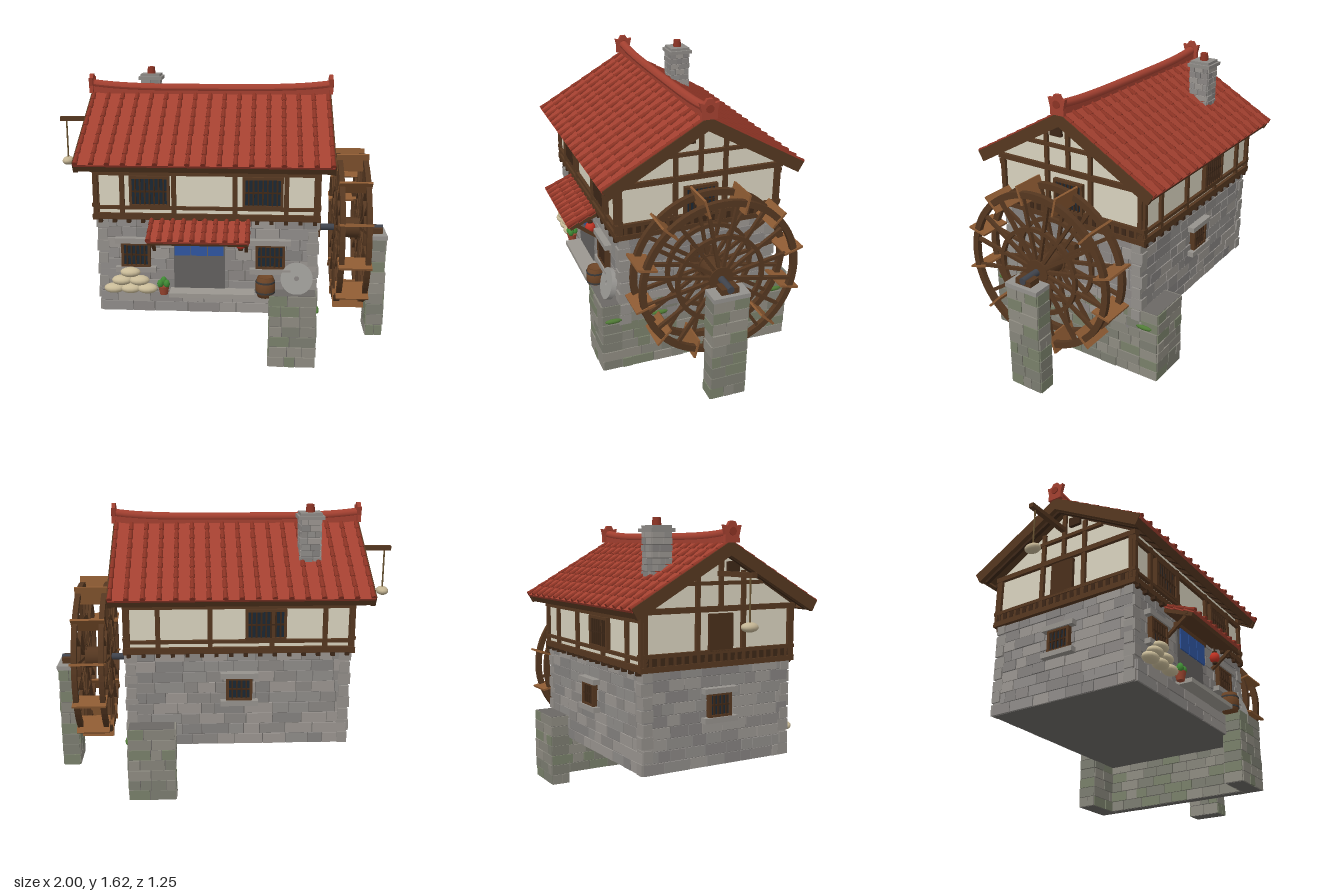
import * as THREE from 'three';
import { mergeGeometries } from 'three/addons/utils/BufferGeometryUtils.js';

export function createModel() {
  const root = new THREE.Group();
  const WOOD = 0x553720, DARK = 0x3d2717, RED = 0xa34030, RED2 = 0x8c3324, PLASTER = 0xd8d2be;
  const GREYS = [0x8f8c89, 0x84817f, 0x9a9590, 0x8a8683];
  const MOSSY = [0x86847a, 0x7b7c70, 0x8e8b81, 0x79806a];
  let seed = 7;
  const rnd = () => (seed = (seed * 16807) % 2147483647) / 2147483647;

  // Geometry is gathered by part name and merged at the end
  const parts = {};
  const add = (name, color, ...geos) => (parts[name] ??= { color, geos: [] }).geos.push(...geos);
  const box = (w, h, d, x = 0, y = 0, z = 0) => new THREE.BoxGeometry(w, h, d).translate(x, y, z);
  const cyl = (rt, rb, h, x, y, z, n = 16) => new THREE.CylinderGeometry(rt, rb, h, n).translate(x, y, z);
  const blob = (rx, ry, rz, x, y, z) => new THREE.SphereGeometry(1, 14, 10).scale(rx, ry, rz).translate(x, y, z);
  const bar = (a, b, t) => {
    const p = new THREE.Vector3(...a), q = new THREE.Vector3(...b), m = new THREE.Object3D();
    m.position.copy(p).lerp(q, 0.5);
    m.lookAt(q);
    m.updateMatrix();
    return box(t, t, p.distanceTo(q)).applyMatrix4(m.matrix);
  };

  // Stone block: mortar core with courses of uneven stones on four faces
  function stoneBox(name, x0, x1, y0, y1, z0, z1, rowH, len, tones) {
    const cx = (x0 + x1) / 2, cz = (z0 + z1) / 2, w = x1 - x0, d = z1 - z0;
    add(name + 'Core', 0x6b6865, box(w - 0.008, y1 - y0, d - 0.008, cx, (y0 + y1) / 2, cz));
    const rows = Math.round((y1 - y0) / rowH), h = (y1 - y0) / rows;
    for (let s = 0; s < 4; s++) {
      const half = (s % 2 ? d : w) / 2, out = (s % 2 ? w : d) / 2;
      for (let r = 0; r < rows; r++) {
        let u = -half;
        while (u < half - 0.001) {
          let l = len * (0.6 + 0.8 * rnd());
          if (half - u - l < len * 0.5) l = half - u;
          const i = Math.floor(rnd() * 4);
          const g = box(l - 0.004, h - 0.004, 0.03, u + l / 2, y0 + (r + 0.5) * h, out - 0.014 + rnd() * 0.006);
          add(name + 'Stones' + i, tones[i], g.rotateY(s * Math.PI / 2).translate(cx, 0, cz));
          u += l;
        }
      }
    }
  }
  stoneBox('house', -0.685, 0.545, 0.29, 0.85, -0.497, 0.427, 0.062, 0.12, GREYS);
  stoneBox('plinth', -0.68, 0.3, 0.29, 0.41, 0.38, 0.445, 0.06, 0.14, GREYS);
  // U-shaped foundation: two end blocks joined by a thin wall beside the wheel
  stoneBox('foundation', 0.283, 0.545, 0, 0.43, 0.425, 0.537, 0.062, 0.1, MOSSY);
  stoneBox('foundation', 0.283, 0.545, 0, 0.43, -0.61, -0.497, 0.062, 0.1, MOSSY);
  stoneBox('foundation', 0.485, 0.545, 0, 0.43, -0.497, 0.425, 0.062, 0.1, MOSSY);
  stoneBox('pier', 0.883, 0.985, 0, 0.62, -0.138, 0.064, 0.068, 0.08, MOSSY);
  stoneBox('chimney', -0.53, -0.42, 1.2, 1.55, -0.355, -0.235, 0.035, 0.05, GREYS);
  add('pierCap', 0x94918d, box(0.115, 0.025, 0.21, 0.938, 0.632, -0.037));
  add('chimneyCap', 0x8d8a86, box(0.145, 0.02, 0.145, -0.475, 1.555, -0.297), box(0.12, 0.015, 0.12, -0.475, 1.573, -0.297));
  add('chimneyPot', RED2, cyl(0.022, 0.026, 0.045, -0.475, 1.6, -0.297));
  // Corner quoins
  for (const x of [-0.663, 0.523]) for (const z of [-0.475, 0.405]) for (let r = 0; r < 8; r++)
    add('quoins', 0x938f8a, box(r % 2 ? 0.07 : 0.055, 0.062, r % 2 ? 0.055 : 0.07, x, 0.325 + r * 0.07, z));

  // Plaster storey and gables
  const gable = new THREE.Shape([[-0.47, 0.85], [0.47, 0.85], [0.47, 1.16], [0, 1.44], [-0.47, 1.16]].map(p => new THREE.Vector2(...p)));
  add('plasterWalls', PLASTER, new THREE.ExtrudeGeometry(gable, { depth: 1.235, bevelEnabled: false })
    .rotateY(Math.PI / 2).translate(-0.693, 0, -0.035));

  // Put wall-local pieces (u along wall, y up, z outward) on one side of the house
  const sides = { front: [0, 0, 0.435], right: [Math.PI / 2, 0.542, 0], back: [Math.PI, 0, -0.505], left: [-Math.PI / 2, -0.693, 0] };
  const on = (side, name, color, ...gs) => {
    const [a, x, z] = sides[side];
    add(name, color, ...gs.map(g => g.rotateY(a).translate(x, 0, z)));
  };
  function barredWindow(side, u, y, w, h, stone) {
    on(side, 'windowPanes', 0x1a2733, box(w, h, 0.02, u, y, 0.004));
    for (const s of [-1, 1]) {
      on(side, 'windowFrames', WOOD, box(0.015, h, 0.04, u + s * w / 2, y, 0.005), box(w + 0.015, 0.015, 0.04, u, y + s * h / 2, 0.005));
      if (stone) on(side, 'windowLintels', 0x96928d, box(w + 0.08, 0.03, 0.06, u, y + s * (h / 2 + 0.02), 0.005));
    }
    const n = Math.round(w / 0.027);
    for (let i = 1; i < n; i++) on(side, 'windowBars', DARK, box(0.009, h, 0.012, u - w / 2 + i * w / n, y, 0.017));
    on(side, 'windowBars', DARK, box(w, 0.009, 0.012, u, y, 0.015));
  }
  for (const u of [-0.475, 0.285]) barredWindow('front', u, 0.63, 0.15, 0.13, true);
  for (const u of [-0.39, 0.24]) barredWindow('front', u, 1.0, 0.21, 0.16);
  barredWindow('back', 0.22, 1.0, 0.21, 0.16);
  barredWindow('back', 0.075, 0.63, 0.13, 0.12, true);
  barredWindow('right', 0.036, 1.0, 0.18, 0.17);
  barredWindow('left', -0.04, 0.63, 0.13, 0.12, true);
  on('left', 'loftHatch', 0x4a2f1b, box(0.15, 0.2, 0.03, -0.036, 1.02, 0.005));
  for (const s of ['left', 'right']) on(s, 'gableVent', DARK, box(0.075, 0.055, 0.03, s === 'left' ? 0.04 : -0.04, 1.365, 0.005));

  // Timber frame
  for (const s of ['front', 'back']) {
    const m = s === 'front' ? 1 : -1;
    for (const [y, h] of [[0.855, 0.035], [0.905, 0.018], [1.105, 0.03]]) on(s, 'timberFrame', WOOD, box(1.26, h, 0.04, -0.076 * m, y, 0));
    for (const x of [-0.695, -0.545, -0.255, 0.085, 0.37, 0.535]) on(s, 'timberFrame', WOOD, box(0.026, 0.28, 0.036, x * m, 0.99, 0));
    for (let i = 0; i < 16; i++) on(s, 'joistEnds', DARK, box(0.022, 0.022, 0.04, (-0.67 + i * 0.08) * m, 0.83, 0.002));
  }
  for (const s of ['right', 'left']) {
    const c = s === 'right' ? 0.035 : -0.035;
    for (const [y, h, w] of [[0.85, 0.03, 0.98], [0.918, 0.02, 0.98], [1.145, 0.03, 0.98], [1.28, 0.02, 0.53]]) on(s, 'timberFrame', WOOD, box(w, h, 0.04, c, y, 0));
    for (const u of [-0.46, -0.145, 0.145, 0.46]) on(s, 'timberFrame', WOOD, box(0.026, 0.28, 0.036, c + u, 1.0, 0));
    for (const u of [-0.145, 0, 0.145]) on(s, 'timberFrame', WOOD, box(0.024, u ? 0.2 : 0.28, 0.034, c + u, u ? 1.245 : 1.29, 0));
    on(s, 'timberFrame', WOOD, box(0.96, 0.06, 0.028, c, 0.885, 0));
    for (let i = 0; i < 20; i++) on(s, 'joistEnds', DARK, box(0.026, 0.04, 0.036, c - 0.455 + i * 0.048, 0.887, 0));
  }

  // Tiled slope, laid down along +z from its top edge then tilted into place
  function slope(width, L, cols, rows, tilt, turn, x, y, z, boards) {
    const put = (name, color, g) => add(name, color, g.rotateX(tilt).rotateY(turn).translate(x, y, z));
    const d = L / rows;
    put('roofBoards', WOOD, box(width - 0.02, 0.022, L - 0.01, 0, -0.022, L / 2));
    for (let r = 0; r < rows; r++) {
      put('roofTiles', RED, box(width - 0.01, 0.014, d + 0.008).rotateX(0.1).translate(0, -0.002, (r + 0.5) * d));
      for (let c = 0; c <= cols; c++) {
        const cover = new THREE.CylinderGeometry(0.015, 0.011, d + 0.006, 8).rotateX(Math.PI / 2);
        put('coverTiles', RED2, cover.translate(-width / 2 + 0.015 + c * (width - 0.03) / cols, 0.005, (r + 0.5) * d));
      }
    }
    if (!boards) return;
    for (const s of [-1, 1]) put('bargeBoards', WOOD, box(0.026, 0.066, L, s * (width / 2 - 0.011), -0.024, L / 2));
    put('eaveBoards', WOOD, box(width - 0.03, 0.04, 0.02, 0, -0.035, L - 0.015));
    for (let i = 0; i < 17; i++) put('rafters', DARK, box(0.022, 0.025, L - 0.03, -width / 2 + 0.05 + i * (width - 0.1) / 16, -0.043, L / 2));
  }
  for (const t of [0, Math.PI]) slope(1.425, 0.66, 16, 8, 0.515, t, -0.083, 1.49, -0.038, true);
  slope(0.57, 0.21, 9, 3, 0.4, 0, -0.11, 0.845, 0.425, false);

  // Ridge rising towards its ends, with crown-shaped end tiles
  const lift = g => {
    const p = g.attributes.position;
    for (let i = 0; i < p.count; i++) p.setY(i, p.getY(i) + 0.025 * Math.abs(p.getX(i) / 0.71) ** 4);
    g.computeVertexNormals();
    return g.translate(-0.083, 0, -0.038);
  };
  add('ridge', RED, lift(new THREE.BoxGeometry(1.42, 0.05, 0.045, 24).translate(0, 1.495, 0)),
    lift(new THREE.CylinderGeometry(0.026, 0.026, 1.42, 12, 24).rotateZ(Math.PI / 2).translate(0, 1.518, 0)));
  const crown = new THREE.Shape([[-0.045, 1.49], [0.045, 1.49], [0.043, 1.53], [0.055, 1.58], [0.03, 1.575], [0.015, 1.6],
    [-0.015, 1.6], [-0.03, 1.575], [-0.055, 1.58], [-0.043, 1.53]].map(p => new THREE.Vector2(...p)));
  for (const x of [-0.805, 0.618]) {
    add('ridgeEnds', RED, new THREE.ExtrudeGeometry(crown, { depth: 0.022, bevelEnabled: false }).rotateY(Math.PI / 2).translate(x, 0, -0.038));
    add('ridgeBosses', RED2, cyl(0.022, 0.022, 0.032, 0, 0, 0).rotateZ(Math.PI / 2).translate(x + 0.011, 1.548, -0.038));
  }

  // Doorway with step, curtain, awning brackets and lantern
  add('door', 0x62605e, box(0.29, 0.34, 0.03, -0.115, 0.59, 0.425));
  add('doorFrame', WOOD, box(0.34, 0.025, 0.04, -0.115, 0.775, 0.435));
  add('doorStep', 0x9b9790, box(0.48, 0.025, 0.12, -0.04, 0.42, 0.475));
  for (const i of [-1, 0, 1]) add('curtain', 0x2f55a0, box(0.089, 0.125, 0.008, -0.115 + i * 0.094, 0.695, 0.455));
  for (const x of [-0.37, 0.15])
    add('awningBrackets', WOOD, bar([x, 0.66, 0.44], [x, 0.76, 0.57], 0.018), bar([x, 0.82, 0.43], [x, 0.745, 0.6], 0.018));
  add('awningBeam', WOOD, box(0.56, 0.02, 0.02, -0.11, 0.765, 0.57));
  add('lantern', 0xc23324, blob(0.03, 0.034, 0.03, 0.12, 0.715, 0.475));
  add('lanternCaps', DARK, cyl(0.014, 0.014, 0.01, 0.12, 0.75, 0.475), cyl(0.014, 0.014, 0.01, 0.12, 0.68, 0.475), box(0.005, 0.05, 0.005, 0.12, 0.775, 0.475));

  // Goods in front of the house
  for (const [x, y] of [[-0.6, 0.438], [-0.505, 0.438], [-0.41, 0.438], [-0.555, 0.486], [-0.455, 0.486], [-0.505, 0.534]])
    add('grainSacks', 0xc9bb98, blob(0.058, 0.028, 0.042, x, y, 0.475));
  add('flowerPot', 0x9c4630, cyl(0.032, 0.022, 0.05, -0.315, 0.435, 0.485));
  for (const [x, y, z] of [[0, 0.49, 0], [-0.018, 0.475, 0.012], [0.018, 0.475, 0.01], [0, 0.475, -0.02]]) add('plant', 0x3f8a34, blob(0.018, 0.024, 0.018, x - 0.315, y, z + 0.485));
  const barrel = [[0, 0], [0.044, 0], [0.055, 0.04], [0.055, 0.075], [0.045, 0.115], [0.038, 0.115], [0.038, 0.108], [0, 0.108]];
  add('barrel', 0x6e4526, new THREE.LatheGeometry(barrel.map(p => new THREE.Vector2(...p)), 16).translate(0.26, 0.412, 0.49));
  for (const y of [0.44, 0.5]) add('barrelHoops', 0x3b3a3a, cyl(0.055, 0.055, 0.01, 0.26, y, 0.49));

  // Ring of rectangular section around the x axis
  const ring = (ro, ri, d, x) => {
    const s = new THREE.Shape().absarc(0, 0, ro, 0, Math.PI * 2);
    s.holes.push(new THREE.Path().absarc(0, 0, ri, 0, Math.PI * 2, true));
    return new THREE.ExtrudeGeometry(s, { depth: d, bevelEnabled: false, curveSegments: 32 }).rotateY(Math.PI / 2).translate(x - d / 2, 0, 0);
  };
  add('millstone', 0x9a9894, ring(0.09, 0.014, 0.03, 0).rotateY(-Math.PI / 2).rotateX(-0.28).translate(0.435, 0.51, 0.465));

  // Water wheel
  const W = [0.765, 0.67, -0.036], wheel = (name, color, g) => add(name, color, g.translate(...W));
  for (const x of [-0.075, 0.075]) {
    wheel('wheelRims', WOOD, ring(0.455, 0.42, 0.03, x));
    wheel('wheelInnerRings', WOOD, ring(0.255, 0.232, 0.022, x));
    wheel('hubFlanges', WOOD, ring(0.07, 0.02, 0.03, x));
    for (let i = 0; i < 16; i++) wheel('wheelSpokes', WOOD, box(0.02, 0.38, 0.018, x, 0.24, 0).rotateX((i + 0.5) * Math.PI / 8));
  }
  for (let i = 0; i < 12; i++)
    wheel('paddles', 0x8c5a32, box(0.19, 0.11, 0.012).rotateX(0.08).translate(0, 0.435, 0).rotateX(i * Math.PI / 6 - 0.31));
  wheel('hub', WOOD, cyl(0.062, 0.062, 0.18, 0, 0, 0, 20).rotateZ(Math.PI / 2));
  add('axle', 0x3f434c, cyl(0.02, 0.02, 0.43, 0, 0, 0).rotateZ(Math.PI / 2).translate(0.76, 0.67, -0.036));
  add('bearings', WOOD, box(0.05, 0.11, 0.11, 0.565, 0.675, -0.036), box(0.07, 0.035, 0.1, 0.935, 0.66, -0.036));

  // Hoist beam with rope and bundle
  add('hoistBeam', WOOD, box(0.32, 0.026, 0.03, -0.84, 1.33, -0.038));
  add('hoistRope', 0x6b5533, cyl(0.005, 0.005, 0.23, -0.963, 1.205, -0.038, 6));
  add('hoistBundle', 0xc3b493, blob(0.036, 0.026, 0.05, -0.963, 1.07, -0.038));

  // Moss on the foundation
  for (const z of [0.475, 0.2, -0.525]) add('moss', 0x4f7a35, blob(0.014, 0.014, 0.05, 0.55, 0.33, z));

  for (const [name, { color, geos }] of Object.entries(parts)) {
    const flat = geos.map(g => (g.index ? g.toNonIndexed() : g));
    const mesh = new THREE.Mesh(mergeGeometries(flat), new THREE.MeshStandardMaterial({ color }));
    mesh.name = name;
    root.add(mesh);
  }
  return root;
}
